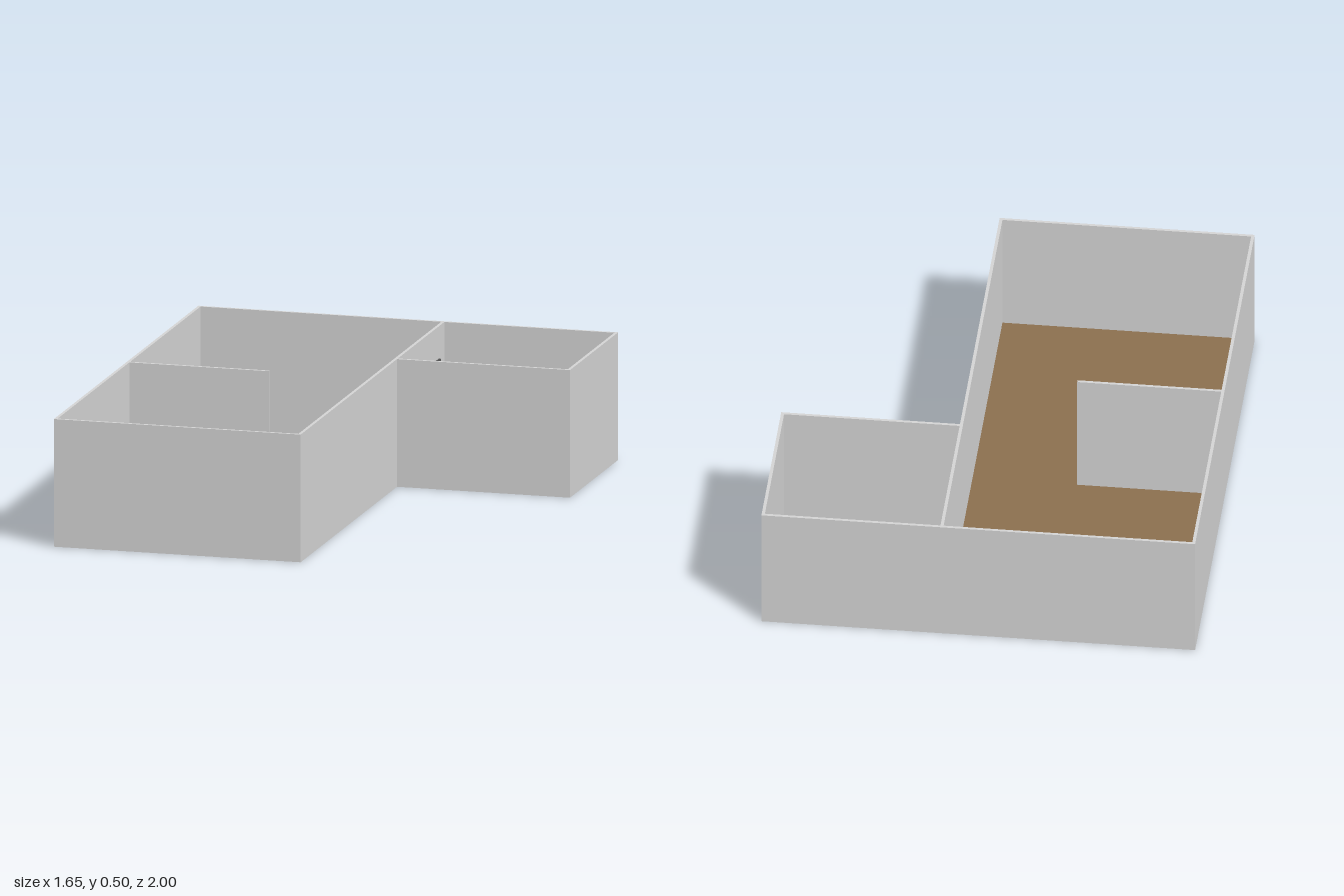
import * as THREE from 'three';

const H = 0.495;      // wall height
const T = 0.012;      // wall thickness
const BASE = 0.012;   // slab thickness
const X0 = -0.825, XM = 0.145, X1 = 0.825; // outer left, shared wall, outer right
const ZB = -1, ZS = -0.333, ZF = 1;        // back, small room front, big room front

const wallMat = new THREE.MeshStandardMaterial({ color: 0xd3d3d3 });
wallMat.name = 'light grey wall';
const woodMat = new THREE.MeshStandardMaterial({ color: 0x8b6f4e });
woodMat.name = 'brown floor';
const darkMat = new THREE.MeshStandardMaterial({ color: 0x5a5a5a });
darkMat.name = 'dark grey';

// Outlines are drawn in plan with shape y = -z
const points = (list) => list.map(([x, z]) => new THREE.Vector2(x, -z));
const rect = ([xa, xb, za, zb]) => points([[xa, za], [xb, za], [xb, zb], [xa, zb]]);
const footprint = () => new THREE.Shape(points([
  [X0, ZF], [XM, ZF], [XM, ZS], [X1, ZS], [X1, ZB], [X0, ZB],
]));

// Raise a plan shape from y to y + height
function slab(shape, y, height) {
  const g = new THREE.ExtrudeGeometry(shape, { depth: height, bevelEnabled: false });
  return g.rotateX(-Math.PI / 2).translate(0, y, 0);
}

export function createModel() {
  const model = new THREE.Group();
  model.name = 'floorPlan';
  const add = (name, geometry, material) => {
    const mesh = new THREE.Mesh(geometry, material);
    mesh.name = name;
    model.add(mesh);
  };

  // Inner areas of the two rooms
  const big = [X0 + T, XM - T, ZB + T, ZF - T];
  const small = [XM, X1 - T, ZB + T, ZS - T];

  // L-shaped base and the walls around both rooms
  add('base', slab(footprint(), 0, BASE), wallMat);
  const walls = footprint();
  walls.holes.push(new THREE.Path(rect(big)), new THREE.Path(rect(small)));
  add('walls', slab(walls, BASE, H - BASE), wallMat);

  // Floor coverings
  add('mainFloor', slab(new THREE.Shape(rect(big)), BASE, 0.003), woodMat);
  add('sideFloor', slab(new THREE.Shape(rect(small)), BASE, 0.003), darkMat);

  // Partition reaching part of the way across the main room
  const partition = new THREE.Shape(rect([X0 + T, -0.265, -0.015, -0.003]));
  add('partition', slab(partition, BASE, H - BASE), wallMat);

  // Door panel with rounded top corners on the side-room face of the shared wall
  const a = 0.735, b = 0.93, top = 0.37, r = 0.02;
  const door = new THREE.Shape();
  door.moveTo(a, BASE);
  door.lineTo(b, BASE);
  door.lineTo(b, top - r);
  door.quadraticCurveTo(b, top, b - r, top);
  door.lineTo(a + r, top);
  door.quadraticCurveTo(a, top, a, top - r);
  const panel = new THREE.ExtrudeGeometry(door, { depth: 0.004, bevelEnabled: false });
  add('door', panel.rotateY(Math.PI / 2).translate(XM, 0, 0), darkMat);

  return model;
}
